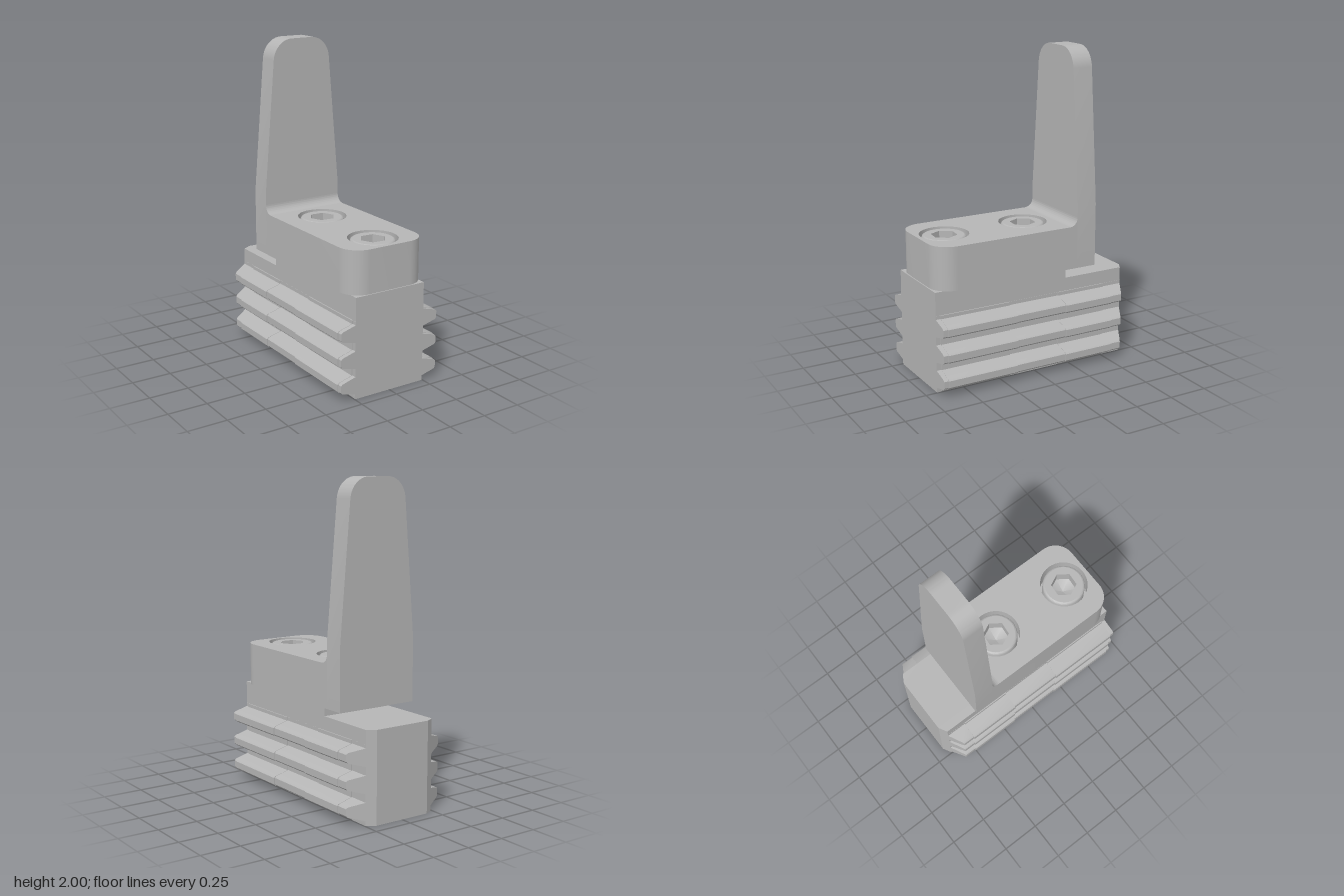
import * as THREE from 'three';
import { toCreasedNormals } from 'three/addons/utils/BufferGeometryUtils.js';

const steel = new THREE.MeshStandardMaterial({ color: 0xb5b5b5 });
steel.name = 'grey steel';

const TOP = 0.905;            // top of the clamp foot
const FOOT_BOTTOM = 0.633;
const HALF = 0.273;           // half width of foot and finger
const SCREWS = [-0.06, 0.49]; // z of the screws
const HOLE = 0.153;

export function createModel() {
  const model = new THREE.Group();

  const add = (name, geometry, parent = model) => {
    const mesh = new THREE.Mesh(toCreasedNormals(geometry, 0.6), steel);
    mesh.name = name;
    parent.add(mesh);
    return mesh;
  };
  const box = (name, w, y0, y1, z0, z1, parent) =>
    add(name, new THREE.BoxGeometry(w, y1 - y0, z1 - z0)
      .translate(0, (y0 + y1) / 2, (z0 + z1) / 2), parent);
  const extrude = (shape, depth) =>
    new THREE.ExtrudeGeometry(shape, { depth, bevelEnabled: false, curveSegments: 20 });

  // Jaw base: plain core with a raised seat
  const base = new THREE.Group();
  base.name = 'jawBase';
  model.add(base);
  box('core', 0.38, 0, 0.572, -0.675, 0.675, base);
  box('seat', 0.49, 0.572, FOOT_BOTTOM, -0.228, 0.675, base);

  // Toothed flanks, in stretches of slightly different width
  const flank = (side, z0, z1, grow) => {
    const root = 0.246 + grow, tip = 0.346 + grow;
    const pts = [[0.19, 0], [0.245, 0], [root, 0.008]];
    for (const y of [0.085, 0.247, 0.409]) {
      pts.push([root, y - 0.054], [tip - 0.01, y - 0.031], [tip, y - 0.021],
        [tip, y + 0.021], [tip - 0.01, y + 0.031], [root, y + 0.056]);
    }
    pts.push([root, 0.487], [0.245, 0.487], [0.245, 0.572], [0.19, 0.572]);
    const shape = new THREE.Shape(pts.map(([x, y]) => new THREE.Vector2(side * x, y)));
    const geo = extrude(shape, z1 - z0).translate(0, 0, z0);
    // slanted back corner
    const p = geo.attributes.position;
    for (let i = 0; i < p.count; i++) {
      const limit = -0.675 + (Math.abs(p.getX(i)) - 0.19) * 0.5625;
      p.setZ(i, Math.max(p.getZ(i), limit));
    }
    geo.computeVertexNormals();
    add(side > 0 ? 'leftTeeth' : 'rightTeeth', geo, base);
  };
  const stops = [-0.675, -0.51, -0.172, 0.175, 0.645, 0.675];
  for (const side of [-1, 1]) {
    for (let i = 0; i < 5; i++) flank(side, stops[i], stops[i + 1], i % 2 ? 0.006 : 0);
  }

  // Clamp foot with rounded front corners and two screw holes (shape y becomes z)
  const r = 0.13, front = 0.668;
  const plan = new THREE.Shape();
  plan.moveTo(-HALF, -0.295);
  plan.lineTo(HALF, -0.295);
  plan.lineTo(HALF, front - r);
  plan.absarc(HALF - r, front - r, r, 0, Math.PI / 2);
  plan.lineTo(-HALF + r, front);
  plan.absarc(-HALF + r, front - r, r, Math.PI / 2, Math.PI);
  for (const z of SCREWS) {
    plan.holes.push(new THREE.Path().absarc(0, z, HOLE, 0, Math.PI * 2, true));
  }
  add('foot', extrude(plan, TOP - FOOT_BOTTOM).rotateX(Math.PI / 2).translate(0, TOP, 0));

  // Upright tapered finger
  const finger = new THREE.Shape();
  finger.moveTo(-HALF, FOOT_BOTTOM);
  finger.lineTo(HALF, FOOT_BOTTOM);
  finger.lineTo(HALF, 1.03);
  finger.lineTo(0.202, 1.875);
  finger.bezierCurveTo(0.195, 1.945, 0.14, 2, 0.07, 2);
  finger.lineTo(-0.07, 2);
  finger.bezierCurveTo(-0.14, 2, -0.195, 1.945, -0.202, 1.875);
  finger.lineTo(-HALF, 1.03);
  add('finger', extrude(finger, 0.133).translate(0, 0, -0.428));

  // Fillet between foot and finger
  const fillet = new THREE.Shape();
  fillet.moveTo(-0.295, TOP);
  fillet.lineTo(-0.24, TOP);
  fillet.absarc(-0.24, TOP + 0.055, 0.055, -Math.PI / 2, -Math.PI, true);
  add('fillet', extrude(fillet, HALF * 2).rotateY(-Math.PI / 2).translate(HALF, 0, 0));

  // Socket head screws
  const v = (x, y) => new THREE.Vector2(x, y);
  const turn = THREE.MathUtils.degToRad(5);
  for (const z of SCREWS) {
    const screw = new THREE.Group();
    screw.name = 'screw';
    screw.position.set(0, 0.9, z);
    model.add(screw);
    // hole floor, head side and rounded rim
    add('head', new THREE.LatheGeometry([v(HOLE, -0.15), v(0.137, -0.15), v(0.137, -0.016),
      v(0.134, -0.007), v(0.129, -0.002), v(0.122, 0)], 48), screw);
    // head face with hexagonal opening
    const face = new THREE.Shape().absarc(0, 0, 0.122, 0, Math.PI * 2);
    const hex = [];
    for (let i = 0; i < 6; i++) {
      const a = -turn + i * Math.PI / 3;
      hex.push(v(0.082 * Math.cos(a), 0.082 * Math.sin(a)));
    }
    face.holes.push(new THREE.Path(hex));
    add('headFace', new THREE.ShapeGeometry(face, 24).rotateX(-Math.PI / 2), screw);
    // socket walls and conical floor
    add('socket', new THREE.LatheGeometry([v(0.082, 0), v(0.082, -0.08), v(0, -0.12)],
      6, Math.PI / 2 - turn), screw);
  }
  return model;
}
